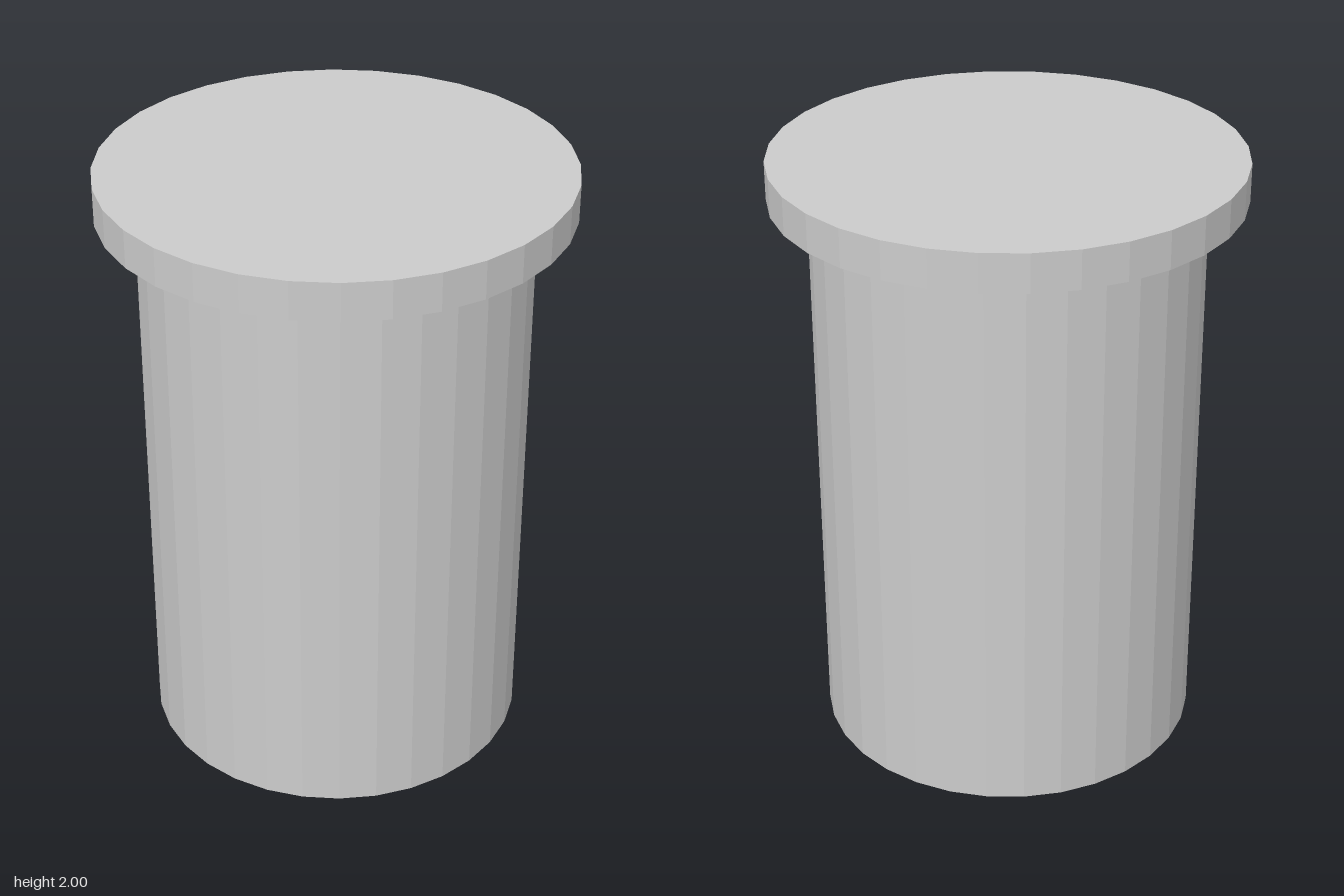
import * as THREE from 'three';

const SIDES = 32;
const BODY_HEIGHT = 1.875;
const CAP_HEIGHT = 0.125;

export function createModel() {
  const group = new THREE.Group();
  const material = new THREE.MeshStandardMaterial({ color: 0xcccccc, flatShading: true });

  // Upright faceted cylinder standing on the given height
  const addCylinder = (name, radius, height, bottom) => {
    const mesh = new THREE.Mesh(new THREE.CylinderGeometry(radius, radius, height, SIDES), material);
    mesh.name = name;
    mesh.position.y = bottom + height / 2;
    group.add(mesh);
  };

  // Main barrel
  addCylinder('body', 0.625, BODY_HEIGHT, 0);
  // Wider disc on top
  addCylinder('cap', 0.75, CAP_HEIGHT, BODY_HEIGHT);

  return group;
}
